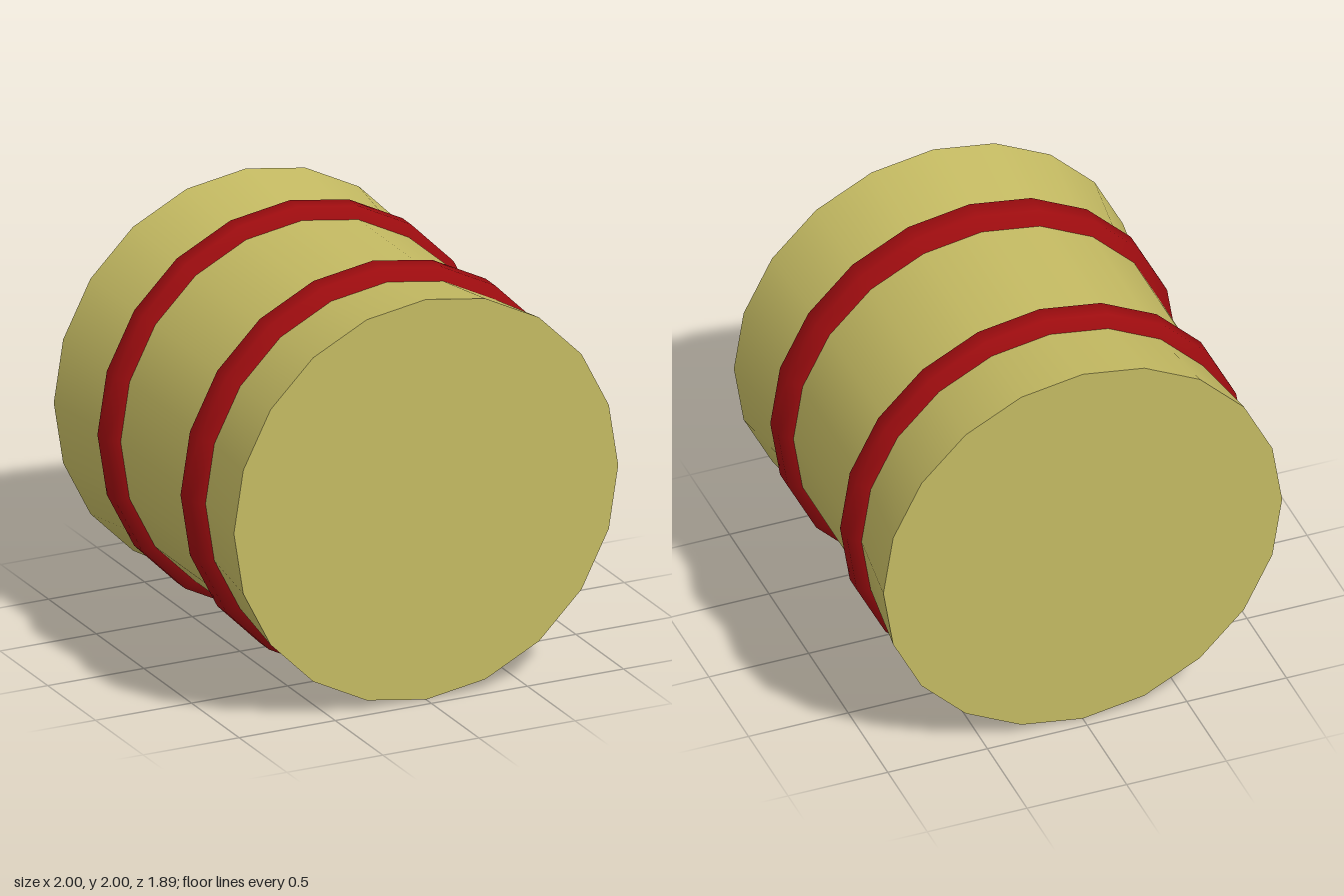
import * as THREE from 'three';

const SIDES = 20;
const CORE_R = 0.945;
const HALF = 0.945;

export function createModel() {
  const model = new THREE.Group();
  const wood = new THREE.MeshStandardMaterial({ color: 0xc4ba62 });
  const red = new THREE.MeshStandardMaterial({ color: 0x9c0c0f });

  // Lays a geometry built around y along z, raised so the drum stands on y = 0
  function add(name, geometry, material, z = 0) {
    geometry.rotateX(Math.PI / 2);
    const mesh = new THREE.Mesh(geometry, material);
    mesh.name = name;
    mesh.position.set(0, 1, z);
    model.add(mesh);
  }

  // Flared ends with flat caps; the inner end of each is hidden under a band
  const flare = HALF - 0.53;
  add('frontFlare', new THREE.CylinderGeometry(1, CORE_R, flare, SIDES), wood, HALF - flare / 2);
  add('backFlare', new THREE.CylinderGeometry(CORE_R, 1, flare, SIDES), wood, -HALF + flare / 2);

  // Straight middle
  add('middle', new THREE.CylinderGeometry(CORE_R, CORE_R, 1.06, SIDES, 1, true), wood);

  // Raised bands with bevelled edges, sunk slightly into the body
  function band(name, z, halfWidth, halfFlat) {
    const profile = [
      [CORE_R - 0.03, -halfWidth], [CORE_R, -halfWidth], [1, -halfFlat],
      [1, halfFlat], [CORE_R, halfWidth], [CORE_R - 0.03, halfWidth],
    ].map(([r, y]) => new THREE.Vector2(r, y));
    add(name, new THREE.LatheGeometry(profile, SIDES), red, z);
  }
  band('frontBand', 0.435, 0.104, 0.05);
  band('backBand', -0.442, 0.088, 0.045);

  return model;
}
